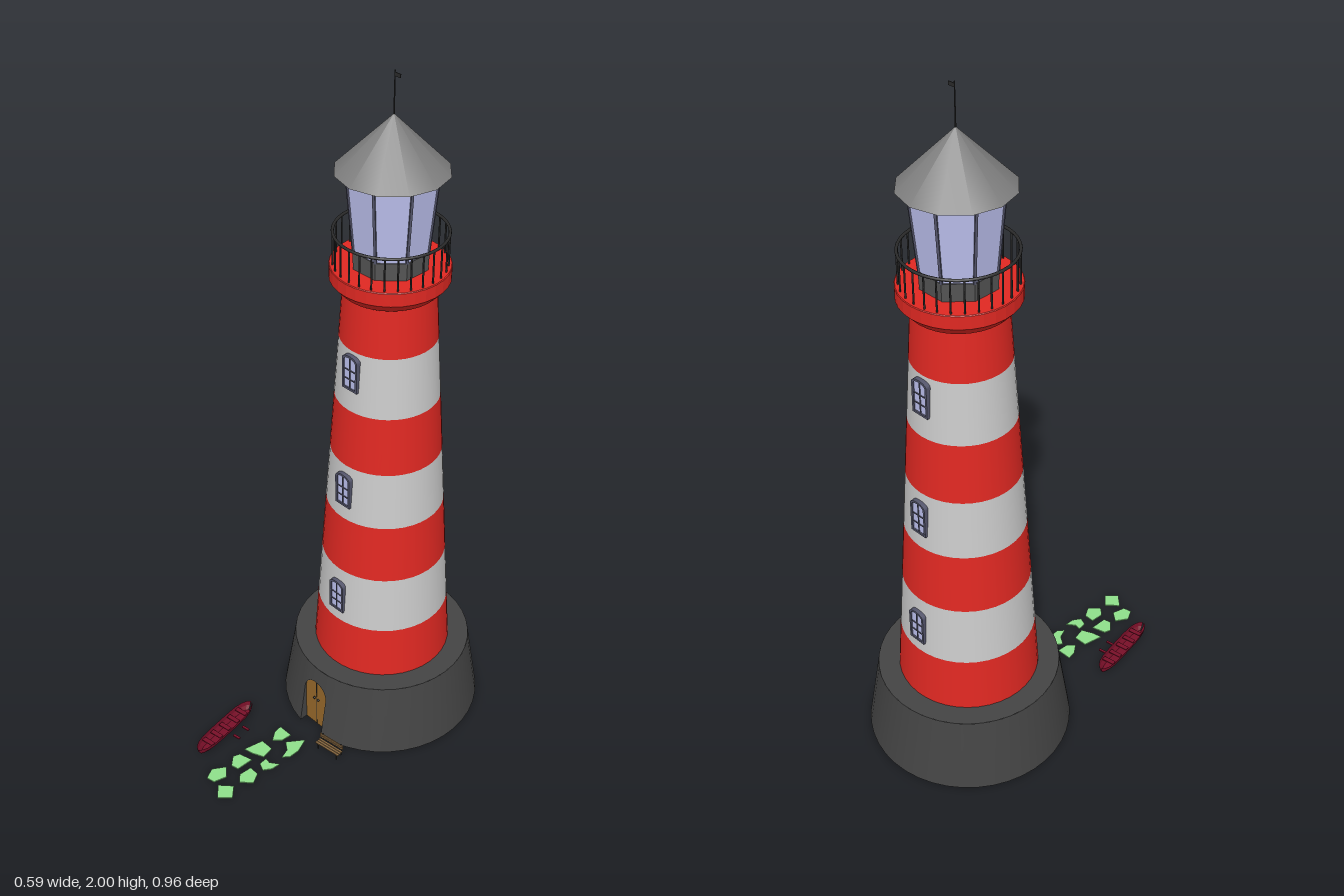
import * as THREE from 'three';
import { mergeGeometries } from 'three/addons/utils/BufferGeometryUtils.js';

const mat = (color, flatShading = false, side = THREE.FrontSide) =>
  new THREE.MeshStandardMaterial({ color, flatShading, side });
const RED = mat(0xe02822), WHITE = mat(0xcccccc), STONE = mat(0x444444, false, THREE.DoubleSide);
const ROOF = mat(0x808080), DARK = mat(0x2a2a2a), GLASS = mat(0xbcc0ee, true), FRAME = mat(0x55566c);
const WOOD = mat(0x96682a), BENCH = mat(0x8a6a42), MAROON = mat(0x780f28, true, THREE.DoubleSide);
const GREEN = mat(0x8fe08a, true);

function add(parent, name, geo, material, x = 0, y = 0, z = 0) {
  const m = new THREE.Mesh(geo, material);
  m.name = name;
  m.position.set(x, y, z);
  parent.add(m);
  return m;
}
const V = (x, y, z) => new THREE.Vector3(x, y, z);
const box = (w, h, d, x = 0, y = 0, z = 0) => new THREE.BoxGeometry(w, h, d).translate(x, y, z);

// Skin over rows of points with equal counts
function loft(rows) {
  const n = rows[0].length, index = [];
  for (let r = 0; r < rows.length - 1; r++)
    for (let i = 0; i < n - 1; i++) {
      const a = r * n + i, b = a + n;
      index.push(a, a + 1, b + 1, a, b + 1, b);
    }
  const g = new THREE.BufferGeometry().setFromPoints(rows.flat());
  g.setIndex(index);
  g.computeVertexNormals();
  return g;
}

// Rectangle with a rounded top, standing on y = 0
function archShape(hw, h, rise) {
  const s = new THREE.Shape();
  s.moveTo(-hw, 0).lineTo(hw, 0).lineTo(hw, h - rise);
  for (let i = 1; i <= 12; i++) {
    const a = (i / 12) * Math.PI;
    s.lineTo(hw * Math.cos(a), h - rise + rise * Math.sin(a));
  }
  return s;
}
const extrude = (shape, depth) => new THREE.ExtrudeGeometry(shape, { depth, bevelEnabled: false });

// Tapered stone base with an arched doorway cut into the front
function buildBase(tower) {
  const H = 0.225, cx = -0.006, hw = 0.045, spring = 0.13, doorZ = 0.264;
  const R = y => 0.295 - (0.035 * y) / H;
  const onWall = (x, y) => V(x, y, Math.sqrt(R(y) ** 2 - x * x));
  const wallRow = y => Array.from({ length: 41 }, (_, i) => {
    const a = Math.asin((cx + hw) / R(y)), b = 2 * Math.PI + Math.asin((cx - hw) / R(y));
    const t = a + ((b - a) * i) / 40;
    return V(R(y) * Math.sin(t), y, R(y) * Math.cos(t));
  });
  add(tower, 'baseWall', loft([0, spring, H].map(wallRow)), STONE);

  // Wall above the arch, and the reveal around the opening
  const arch = [], above = [];
  for (let i = 0; i <= 16; i++) {
    const a = Math.PI * (1 - i / 16), x = cx + hw * Math.cos(a);
    arch.push(onWall(x, spring + hw * Math.sin(a)));
    above.push(onWall(x, H));
  }
  add(tower, 'wallAboveDoor', loft([arch, above]), STONE);
  const rim = [onWall(cx - hw, 0), ...arch, onWall(cx + hw, 0)];
  add(tower, 'doorReveal', loft([rim, rim.map(p => V(p.x, p.y, doorZ))]), STONE);

  // Top and underside
  add(tower, 'baseTop', new THREE.CircleGeometry(0.26, 40).rotateX(-Math.PI / 2), STONE, 0, H, 0);
  const outline = wallRow(0).map(p => new THREE.Vector2(p.x, p.z));
  outline.push(new THREE.Vector2(cx - hw, doorZ), new THREE.Vector2(cx + hw, doorZ));
  add(tower, 'baseUnderside', new THREE.ShapeGeometry(new THREE.Shape(outline)).rotateX(Math.PI / 2), STONE);

  // Double door with seam and knobs
  add(tower, 'door', extrude(archShape(hw, spring + hw, hw), 0.006), WOOD, cx, 0, doorZ - 0.005);
  add(tower, 'doorSeam', box(0.002, 0.17, 0.002), DARK, cx, 0.086, doorZ + 0.001);
  for (const s of [-1, 1])
    add(tower, 'doorKnob', new THREE.SphereGeometry(0.004, 10, 8), DARK, cx + s * 0.008, 0.105, doorZ + 0.003);
}

// Arched window with frame and glazing bars, facing +z
function buildWindow() {
  const g = new THREE.Group();
  g.name = 'window';
  const outer = archShape(0.027, 0.105, 0.014);
  const hole = archShape(0.021, 0.093, 0.011).getPoints().map(p => p.add(new THREE.Vector2(0, 0.006)));
  outer.holes.push(new THREE.Path(hole));
  add(g, 'windowFrame', extrude(outer, 0.025), FRAME, 0, 0, -0.022);
  add(g, 'windowGlass', extrude(archShape(0.023, 0.1, 0.012), 0.021), GLASS, 0, 0.002, -0.022);
  const bars = [box(0.0025, 0.094, 0.003, 0, 0.053, 0)];
  for (const y of [0.032, 0.06]) bars.push(box(0.044, 0.0025, 0.003, 0, y, 0));
  add(g, 'windowBars', mergeGeometries(bars), FRAME);
  return g;
}

function buildTower() {
  const tower = new THREE.Group();
  tower.name = 'tower';
  tower.position.z = -0.19;
  buildBase(tower);

  // Striped shaft
  const radius = y => 0.2 - ((y - 0.22) * 0.078) / 1.21;
  const ys = [0.22, 0.39, 0.57, 0.75, 0.925, 1.1, 1.28, 1.43];
  for (let i = 0; i < ys.length - 1; i++) {
    const [a, b] = [ys[i], ys[i + 1]];
    add(tower, 'stripe', new THREE.CylinderGeometry(radius(b), radius(a), b - a, 40, 1, true),
      i % 2 ? WHITE : RED, 0, (a + b) / 2, 0);
  }
  for (const y of [0.425, 0.795, 1.165])
    for (const s of [1, -1]) {
      const w = buildWindow();
      w.position.set(0, y, s * (radius(y) + 0.002));
      if (s < 0) w.rotation.y = Math.PI;
      tower.add(w);
    }

  // Gallery and railing
  const profile = [[0.115, 1.425], [0.133, 1.425], [0.155, 1.45], [0.157, 1.452], [0.157, 1.488], [0.155, 1.49], [0, 1.49]]
    .map(p => new THREE.Vector2(...p));
  add(tower, 'gallery', new THREE.LatheGeometry(profile, 32), mat(0xe02822, true));
  const posts = [];
  for (let i = 0; i < 28; i++) {
    const a = (i / 28) * Math.PI * 2;
    posts.push(new THREE.CylinderGeometry(0.0025, 0.0025, 0.09, 6)
      .translate(0.147 * Math.sin(a), 1.535, 0.147 * Math.cos(a)));
  }
  add(tower, 'railingPosts', mergeGeometries(posts), DARK);
  add(tower, 'handrail', new THREE.TorusGeometry(0.147, 0.004, 8, 40).rotateX(Math.PI / 2), DARK, 0, 1.58, 0);

  // Eight-sided lantern room with corner mullions
  const oct = (rt, rb, h) => new THREE.CylinderGeometry(rt, rb, h, 8).rotateY(Math.PI / 8);
  add(tower, 'lanternPlinth', oct(0.104, 0.102, 0.05), mat(0x555555, true), 0, 1.514, 0);
  add(tower, 'lanternGlass', oct(0.121, 0.101, 0.21), GLASS, 0, 1.643, 0);
  const mullions = [];
  for (let i = 0; i < 8; i++)
    mullions.push(box(0.007, 0.212, 0.006).rotateX(Math.atan(0.02 / 0.21))
      .translate(0, 1.643, 0.111).rotateY((i + 0.5) * Math.PI / 4));
  add(tower, 'mullions', mergeGeometries(mullions), FRAME);

  // Roof, mast and pennant
  add(tower, 'roof', new THREE.ConeGeometry(0.147, 0.147, 12), ROOF, 0, 1.8185, 0);
  add(tower, 'mast', new THREE.CylinderGeometry(0.0015, 0.002, 0.12, 6), DARK, 0, 1.94, 0);
  add(tower, 'pennant', box(0.018, 0.01, 0.002), DARK, 0.01, 1.99, 0);
  return tower;
}

// Open rowing boat with thwarts and two oar blades
function buildBoat() {
  const boat = new THREE.Group();
  boat.name = 'rowingBoat';
  const L = 0.122, rows = [];
  for (const t of [-1, -0.93, -0.8, -0.6, -0.3, 0, 0.3, 0.6, 0.8, 0.93, 1]) {
    const w = 0.023 * Math.pow(1 - Math.abs(t) ** 5, 0.75) + 0.002, z = t * L;
    rows.push([V(w, 0.034, z), V(w * 0.9, 0.02, z * 0.97), V(w * 0.55, 0.008, z * 0.9),
      V(-w * 0.55, 0.008, z * 0.9), V(-w * 0.9, 0.02, z * 0.97), V(-w, 0.034, z)]);
  }
  add(boat, 'hull', loft(rows), MAROON);
  for (const z of [-0.075, -0.038, 0, 0.038, 0.075])
    add(boat, 'thwart', box(0.038, 0.003, 0.014), MAROON, 0, 0.028, z);
  for (const s of [-1, 1])
    add(boat, 'oarBlade', box(0.023, 0.004, 0.007), MAROON, 0.045, 0.014, s * 0.021 - 0.02);
  boat.position.set(-0.167, 0, 0.3);
  boat.rotation.y = 0.153;
  return boat;
}

// Slatted bench
function buildBench() {
  const bench = new THREE.Group();
  bench.name = 'bench';
  for (let i = 0; i < 3; i++)
    add(bench, 'seatSlat', box(0.085, 0.003, 0.006), BENCH, 0, 0.022, -0.005 + i * 0.008);
  for (const y of [0.031, 0.04])
    add(bench, 'backSlat', box(0.085, 0.006, 0.003), BENCH, 0, y, -0.01);
  for (const s of [-1, 1]) {
    add(bench, 'frontLeg', box(0.004, 0.022, 0.004), DARK, s * 0.034, 0.011, 0.011);
    add(bench, 'backLeg', box(0.004, 0.044, 0.004), DARK, s * 0.034, 0.022, -0.011);
  }
  bench.position.set(0.102, 0, 0.126);
  bench.rotation.y = 0.13;
  return bench;
}

// Irregular stepping stones, outlines in hundredths (x, z)
function buildPath() {
  const path = new THREE.Group();
  path.name = 'steppingStones';
  const stones = [
    [-6.9, 16.7, -2.3, 16.7, -2.6, 20, -4.6, 22, -6.4, 19.5],
    [2.1, 14.9, 3.8, 19.2, 3.8, 22.6, 2.3, 24.4, 1.3, 21.5, -1.3, 19.7],
    [-6.4, 24.4, -2.3, 24.4, -1.5, 28.2, -4.9, 29.7, -7.7, 30.3],
    [-0.5, 28.2, 1.3, 28.5, 3.8, 26.7, 3.6, 29.5, 2.1, 31.8, -0.3, 30.8],
    [-7.2, 32.6, -3.1, 31.5, -3.3, 36.7, -5.6, 37.2, -7.9, 34.6],
    [-1, 33.8, 2.1, 33.8, 3.8, 36.9, 0.8, 39.7, -1.3, 37.7],
    [-6.2, 38.7, -3.3, 41, -4.4, 44.9, -6.9, 45.4, -8.5, 42.3],
    [0.8, 41.8, 3.8, 44.9, 0.8, 48, -2.6, 44.9],
  ];
  for (const s of stones) {
    const pts = [];
    for (let i = 0; i < s.length; i += 2) pts.push(new THREE.Vector2(s[i] / 100, -s[i + 1] / 100));
    add(path, 'stone', extrude(new THREE.Shape(pts), 0.004).rotateX(-Math.PI / 2), GREEN);
  }
  return path;
}

export function createModel() {
  const model = new THREE.Group();
  model.name = 'lighthouse';
  model.add(buildTower(), buildBoat(), buildBench(), buildPath());
  return model;
}
